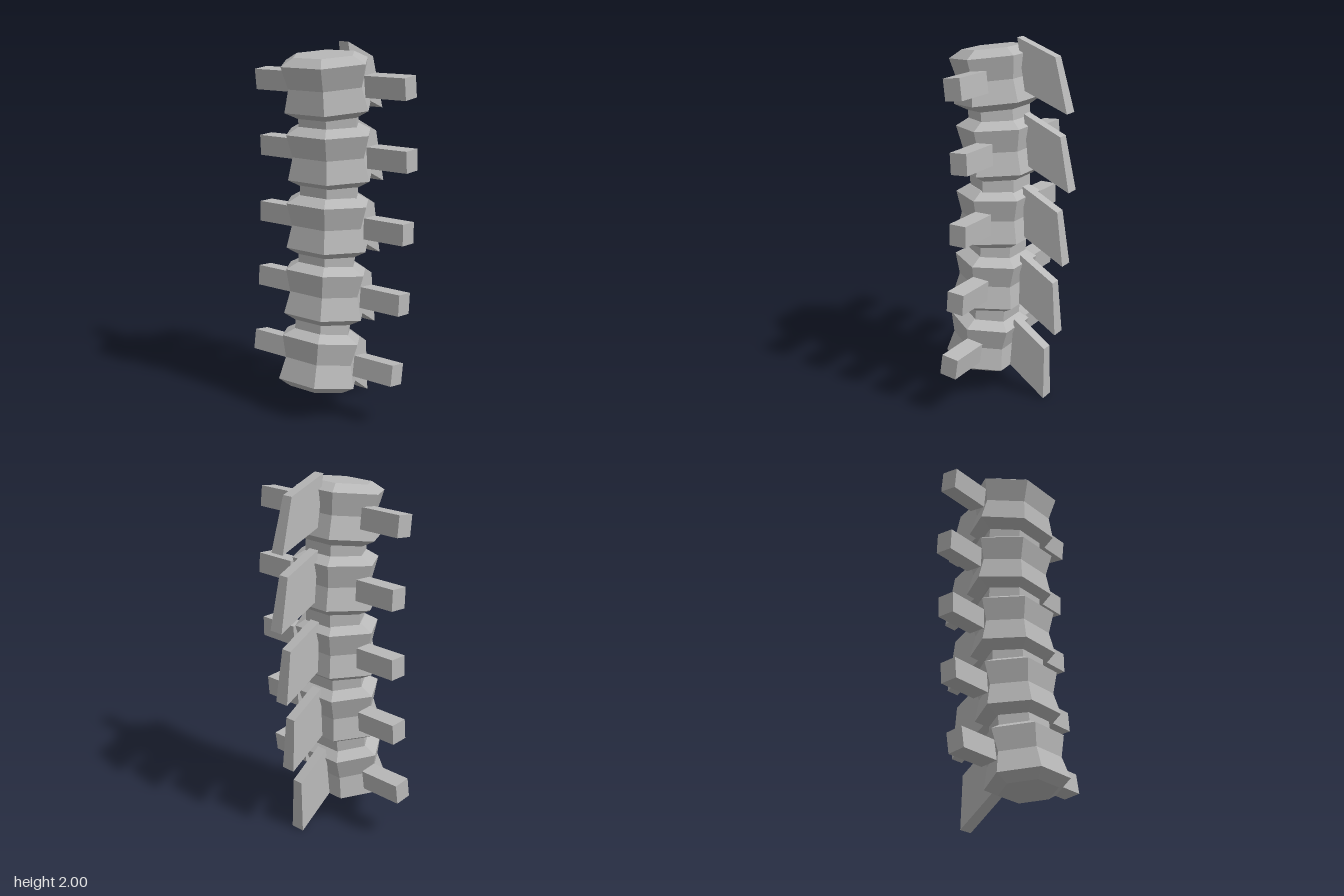
import * as THREE from 'three';

const boneMat = new THREE.MeshStandardMaterial({ color: 0xb8b8b8, flatShading: true });
boneMat.name = 'bone grey';

const SIDES = 6;
const DEPTH = 0.853; // hexagons are flattened front to back
const RIM = 0.266;
const HALF = 0.16;   // half height of one vertebral body

// Bottom to top: centre height, centre depth, tilt in degrees, width scale, blade lift
const levels = [
  { y: 0.296, z: 0.161, tilt: -8.4, s: 0.93, lift: -0.018 },
  { y: 0.667, z: 0.112, tilt: -4.7, s: 0.95, lift: -0.018 },
  { y: 1.037, z: 0.088, tilt: -1.0, s: 0.965, lift: -0.01 },
  { y: 1.411, z: 0.071, tilt: 2.6, s: 0.985, lift: 0 },
  { y: 1.779, z: 0.097, tilt: 6.2, s: 1, lift: 0.018 },
];

function part(name, geometry) {
  const mesh = new THREE.Mesh(geometry, boneMat);
  mesh.name = name;
  return mesh;
}

// Waisted hexagonal body with bevelled rims
function bodyGeometry(s) {
  const profile = [
    [0, -HALF], [RIM * 0.7, -HALF], [RIM, -0.12], [RIM * 0.87, 0],
    [RIM, 0.12], [RIM * 0.7, HALF], [0, HALF],
  ].map(([r, y]) => new THREE.Vector2(r * s, y));
  const g = new THREE.LatheGeometry(profile, SIDES, Math.PI / 2);
  g.scale(1, 1, DEPTH);
  return g;
}

// Slanted rear blade: a box whose corners move to a side outline, wider at the bottom
function bladeGeometry() {
  const g = new THREE.BoxGeometry(1, 1, 1);
  const p = g.attributes.position;
  for (let i = 0; i < p.count; i++) {
    const top = p.getY(i) > 0, front = p.getZ(i) > 0;
    const [z, y] = top
      ? (front ? [-0.168, 0.184] : [-0.379, 0.073])
      : (front ? [-0.19, -0.092] : [-0.424, -0.218]);
    p.setXYZ(i, Math.sign(p.getX(i)) * (top ? 0.031 : 0.042), y, z);
  }
  g.computeVertexNormals();
  return g;
}

export function createModel() {
  const model = new THREE.Group();
  model.name = 'spineSection';

  levels.forEach(({ y, z, tilt, s, lift }, i) => {
    const vertebra = new THREE.Group();
    vertebra.name = `vertebra${i + 1}`;
    vertebra.position.set(0, y, z);
    vertebra.rotation.x = THREE.MathUtils.degToRad(tilt);
    vertebra.add(part('vertebralBody', bodyGeometry(s)));

    // Side bars
    for (const side of [1, -1]) {
      const bar = part(side > 0 ? 'leftSideBar' : 'rightSideBar',
        new THREE.BoxGeometry(0.25, 0.113, 0.097));
      bar.position.set(side * (0.25 * s + 0.125), 0.004, -0.05);
      vertebra.add(bar);
    }

    // Rear blade
    const blade = part('rearBlade', bladeGeometry());
    blade.position.y = lift;
    vertebra.add(blade);
    model.add(vertebra);
  });

  // Discs between neighbouring bodies
  const capCentre = ({ y, z, tilt }, end) => {
    const a = THREE.MathUtils.degToRad(tilt);
    return new THREE.Vector3(0, y + end * HALF * Math.cos(a), z + end * HALF * Math.sin(a));
  };
  for (let i = 0; i < levels.length - 1; i++) {
    const lower = capCentre(levels[i], 1), upper = capCentre(levels[i + 1], -1);
    const r = 0.187 * (levels[i].s + levels[i + 1].s) / 2;
    const g = new THREE.CylinderGeometry(r, r, lower.distanceTo(upper) + 0.04, SIDES, 1, false, Math.PI / 2);
    g.scale(1, 1, DEPTH);
    const disc = part('disc', g);
    disc.position.copy(lower).add(upper).multiplyScalar(0.5);
    disc.rotation.x = THREE.MathUtils.degToRad((levels[i].tilt + levels[i + 1].tilt) / 2);
    model.add(disc);
  }
  return model;
}
